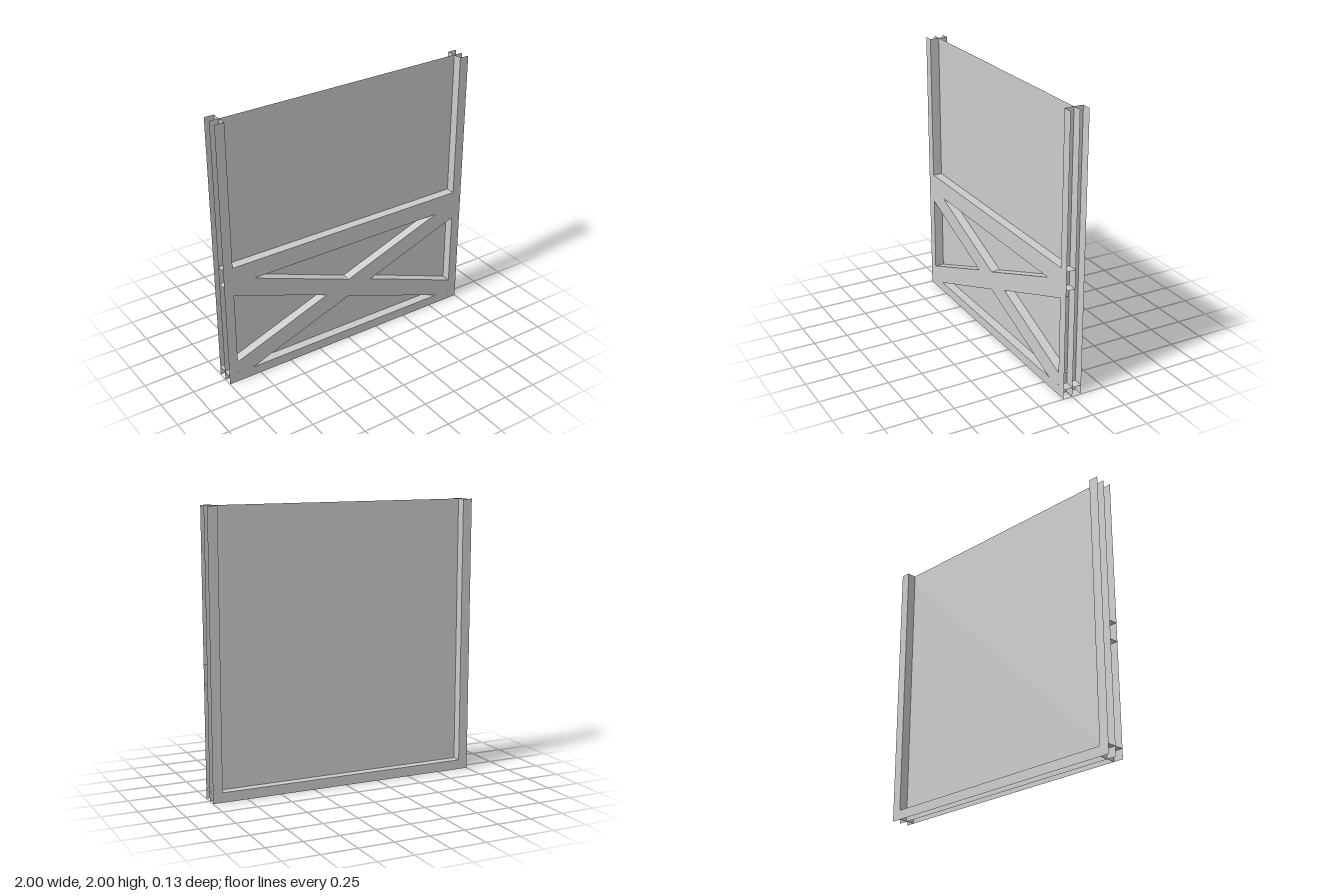
import * as THREE from 'three';

const D = 0.067;   // distance of the outer plates from the middle panel
const IN = 0.93;   // inner edge of the side stiles

export function createModel() {
  const door = new THREE.Group();
  door.name = 'bracedDoor';
  const mat = new THREE.MeshStandardMaterial({
    color: 0xcccccc, flatShading: true, side: THREE.DoubleSide,
  });
  const vec = (pts) => pts.map(([x, y]) => new THREE.Vector2(x, y));

  // Thin upright sheet with optional cut-outs
  const sheet = (name, z, outline, holes = []) => {
    const shape = new THREE.Shape(vec(outline));
    for (const h of holes) shape.holes.push(new THREE.Path(vec(h)));
    const mesh = new THREE.Mesh(new THREE.ShapeGeometry(shape), mat);
    mesh.name = name;
    mesh.position.z = z;
    door.add(mesh);
  };

  // Thin strip joining the middle panel to an outer plate, along a line from a to b
  const rib = (name, a, b, side, extend = 0) => {
    const dx = b[0] - a[0], dy = b[1] - a[1];
    const mesh = new THREE.Mesh(
      new THREE.PlaneGeometry(Math.hypot(dx, dy) + 2 * extend, D), mat);
    mesh.geometry.rotateX(Math.PI / 2);
    mesh.rotation.z = Math.atan2(dy, dx);
    mesh.position.set((a[0] + b[0]) / 2, (a[1] + b[1]) / 2, side * D / 2);
    mesh.name = name;
    door.add(mesh);
  };

  // Frame outline, open at the top, with a bottom rail of the given height
  const frame = (rail) => [
    [-1, 0], [1, 0], [1, 2], [IN, 2], [IN, rail], [-IN, rail], [-IN, 2], [-1, 2],
  ];

  // Cut-outs around the crossed braces
  const mirror = (pts) => pts.map(([x, y]) => [-x, y]);
  const upper = [[-0.77, 0.8], [0, 0.51], [0.77, 0.8]];
  const lower = [[-0.81, 0.07], [0, 0.37], [0.81, 0.07]];
  const side = [[IN, 0.72], [0.19, 0.445], [IN, 0.165]];
  const corner = [[IN, 0.07], [IN, 0.08], [0.925, 0.072]];
  const holes = [upper, lower, side, mirror(side)];

  sheet('middlePanel', 0, [[-1, 0], [1, 0], [1, 2], [-1, 2]]);
  sheet('frontFrame', D, frame(0.935), [...holes, corner, mirror(corner)]);
  sheet('backFrame', -D, frame(0.07));

  // Stile edges, full height on both faces
  for (const x of [-IN, IN]) {
    for (const s of [-1, 1]) rib('stileEdge', [x, 0], [x, 2], s);
  }

  // Rail edges, full width
  for (const y of [0.07, 0.8, 0.935]) rib('frontRailEdge', [-1, y], [1, y], 1);
  rib('backRailEdge', [-1, 0.07], [1, 0.07], -1);

  // Sloping brace edges, running slightly into the stiles
  for (const [a, tip, b] of holes) {
    rib('braceEdge', a, tip, 1, 0.015);
    rib('braceEdge', tip, b, 1, 0.015);
  }
  return door;
}
